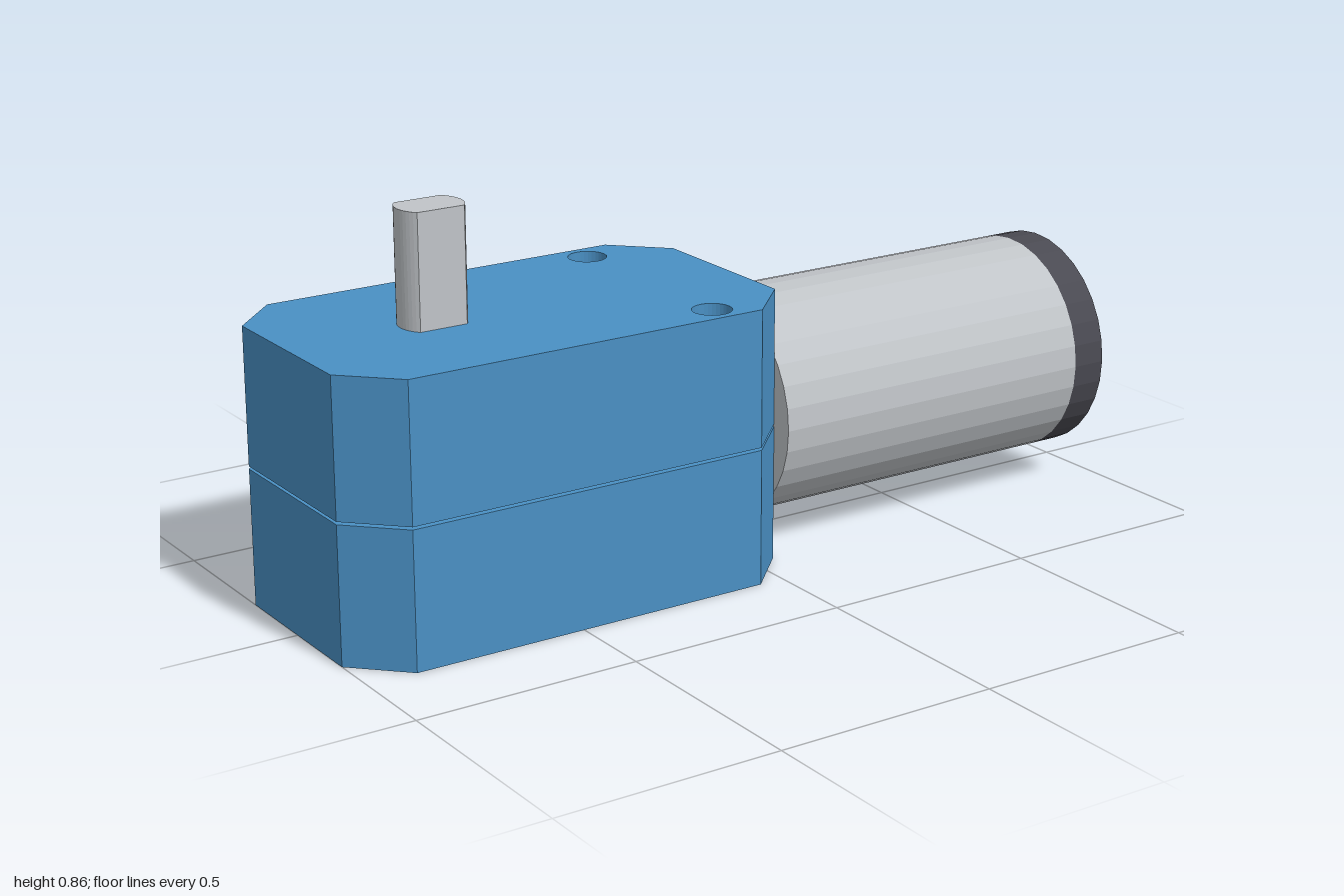
import * as THREE from 'three';

const mat = (name, color, flatShading = false) =>
  Object.assign(new THREE.MeshStandardMaterial({ color, flatShading }), { name });

export function createModel() {
  const model = new THREE.Group();
  model.name = 'gearMotor';
  const blue = mat('housing blue', 0x4a90c4);
  const silver = mat('metal silver', 0xc0c4c8, true);
  const dark = mat('end cap grey', 0x4a4a52, true);
  const brass = mat('terminal brass', 0xc8a664);

  const add = (name, geometry, material, x = 0, y = 0, z = 0) => {
    const mesh = new THREE.Mesh(geometry, material);
    mesh.name = name;
    mesh.position.set(x, y, z);
    model.add(mesh);
    return mesh;
  };
  // Extrude a plan shape upwards
  const extrudeUp = (shape, height, curveSegments) =>
    new THREE.ExtrudeGeometry(shape, { depth: height, bevelEnabled: false, curveSegments })
      .rotateX(-Math.PI / 2);

  // Gearbox: two chamfered halves with a thin gap and through holes
  const x0 = -1, x1 = 0.053, w = 0.305, c = 0.11;
  const plan = new THREE.Shape([
    [x0 + c, -w], [x1 - c, -w], [x1, -w + c], [x1, w - c],
    [x1 - c, w], [x0 + c, w], [x0, w - c], [x0, -w + c],
  ].map(([x, y]) => new THREE.Vector2(x, y)));
  for (const side of [-1, 1]) {
    plan.holes.push(new THREE.Path().absarc(-0.142, side * 0.244, 0.043, 0, Math.PI * 2, true));
  }
  const half = extrudeUp(plan, 0.303, 16);
  add('lowerHousing', half, blue);
  add('upperHousing', half, blue, 0, 0.309, 0);

  // Output shaft with two flats
  const r = 0.073, a = Math.asin(0.049 / r);
  const section = new THREE.Shape();
  section.absarc(0, 0, r, -a, a, false);
  section.absarc(0, 0, r, Math.PI - a, Math.PI + a, false);
  section.closePath();
  add('outputShaft', extrudeUp(section, 0.251, 6), silver, -0.667, 0.611, 0);

  // Motor can and end cap, lying along x
  const barrel = (name, from, to, material) =>
    add(name, new THREE.CylinderGeometry(0.249, 0.249, to - from, 32).rotateZ(-Math.PI / 2),
      material, (from + to) / 2, 0.307, 0);
  barrel('motorCan', 0.053, 0.86, silver);
  barrel('motorEndCap', 0.86, 0.94, dark);

  // Terminals
  for (const side of [-1, 1]) {
    add(side > 0 ? 'frontTerminal' : 'backTerminal',
      new THREE.BoxGeometry(0.06, 0.013, 0.055), brass, 0.97, 0.314, side * 0.11);
  }
  return model;
}
